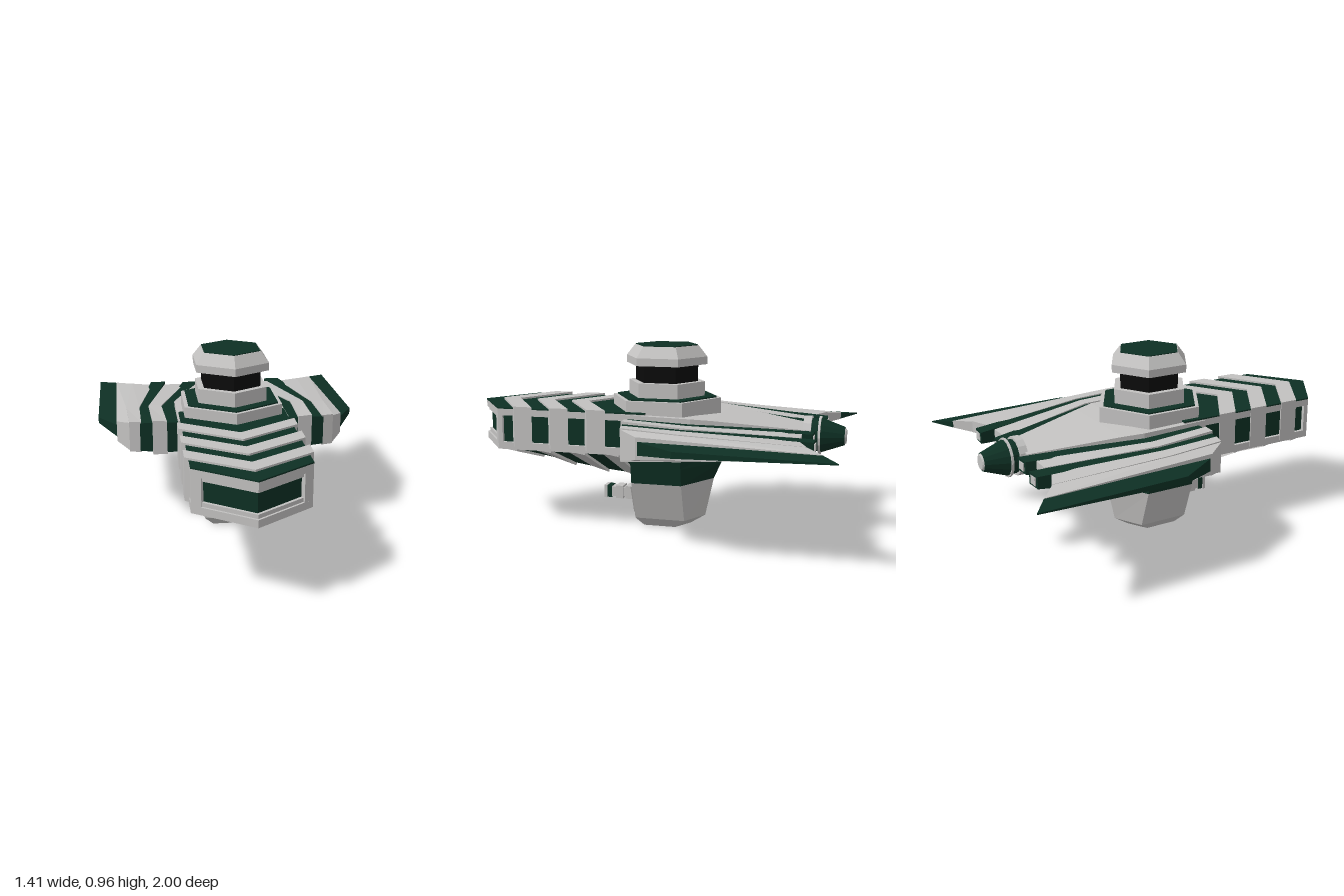
import * as THREE from 'three';

const mat = (name, color) => {
  const m = new THREE.MeshStandardMaterial({ color });
  m.name = name;
  return m;
};

export function createModel() {
  const model = new THREE.Group();
  model.name = 'starship';
  const grey = mat('light grey', 0xc2c1c0);
  const green = mat('dark green', 0x0e3024);
  const black = mat('black', 0x0b0b0b);

  // Adds a faceted mesh
  const add = (name, geo, material, parent = model) => {
    const g = geo.index ? geo.toNonIndexed() : geo;
    g.computeVertexNormals();
    const mesh = new THREE.Mesh(g, material);
    mesh.name = name;
    parent.add(mesh);
    return mesh;
  };

  // Closed solid through equal-sized rings of [x, y, z], oriented outward
  const loft = (rings) => {
    const n = rings[0].length, tris = [];
    for (let r = 0; r + 1 < rings.length; r++) {
      for (let i = 0; i < n; i++) {
        const j = (i + 1) % n;
        const [a, b, c, d] = [rings[r][i], rings[r][j], rings[r + 1][j], rings[r + 1][i]];
        tris.push([a, b, c], [a, c, d]);
      }
    }
    const first = rings[0], last = rings[rings.length - 1];
    for (let i = 1; i + 1 < n; i++) {
      tris.push([first[0], first[i + 1], first[i]], [last[0], last[i], last[i + 1]]);
    }
    const v = (p) => new THREE.Vector3(...p);
    const volume = tris.reduce((s, [a, b, c]) => s + v(a).dot(v(b).cross(v(c))), 0);
    if (volume < 0) tris.forEach((t) => t.reverse());
    const geo = new THREE.BufferGeometry();
    geo.setAttribute('position', new THREE.Float32BufferAttribute(tris.flat(2), 3));
    return geo;
  };

  // Vertical slab from a plan outline of [x, z]
  const slab = (plan, y0, y1) => {
    const shape = new THREE.Shape(plan.map(([x, z]) => new THREE.Vector2(x, -z)));
    const geo = new THREE.ExtrudeGeometry(shape, { depth: y1 - y0, bevelEnabled: false });
    return geo.rotateX(-Math.PI / 2).translate(0, y0, 0);
  };
  const box = (w, h, d, x, y, z) => new THREE.BoxGeometry(w, h, d).translate(x, y, z);

  // Forward arm: recessed green core between grey rails
  const arm = new THREE.Group();
  arm.name = 'forwardArm';
  model.add(arm);
  const nosePlan = (w, edge, tip) => [[-w, 0], [w, 0], [w, edge], [0, tip], [-w, edge]];
  add('armCore', slab(nosePlan(0.262, 0.78, 0.965), 0.43, 0.61), green, arm);
  add('upperRail', slab(nosePlan(0.28, 0.80, 0.995), 0.59, 0.625), grey, arm);
  add('lowerRail', slab(nosePlan(0.28, 0.80, 0.995), 0.41, 0.448), grey, arm);
  add('armDeck', slab(nosePlan(0.28, 0.80, 0.995), 0.625, 0.632), green, arm);
  for (const s of [-1, 1]) {
    add('cornerPost', slab([[s * 0.22, 0.80], [s * 0.235, 0.831], [s * 0.28, 0.80], [s * 0.28, 0.775], [s * 0.25, 0.775]], 0.43, 0.61), grey, arm);
    // Inner frame of the nose window
    for (const [y0, y1] of [[0.448, 0.468], [0.57, 0.59]]) {
      add('windowFrame', slab([[0, 0.96], [0, 0.982], [s * 0.24, 0.815], [s * 0.24, 0.79]], y0, y1), grey, arm);
    }
  }
  for (const z of [0.20, 0.40, 0.60]) {
    add('chevronRib', slab([[-0.3, z], [0, z + 0.19], [0.3, z], [0.3, z + 0.1], [0, z + 0.29], [-0.3, z + 0.1]], 0.427, 0.642), grey, arm);
  }

  // Stepped keel under the arm
  const noseTop = [[-0.27, 0.42, 0.79], [0, 0.42, 0.975], [0.27, 0.42, 0.79]];
  const noseLow = [[-0.27, 0.41, 0.79], [0, 0.362, 0.83], [0.27, 0.41, 0.79]];
  add('keelNose', loft([noseTop, noseLow]), green, arm);
  const keelDepth = (z) => 0.25 + 0.15 * z * z + 0.01 * z;
  const edges = [0.80, 0.70, 0.61, 0.51, 0.42, 0.32, 0.23, 0.14, 0.05];
  for (let i = 0; i + 1 < edges.length; i++) {
    const raised = i % 2 === 0;
    const section = (z, drop) => [[-0.27, 0.415 - drop, z], [-0.27, 0.43, z], [0.27, 0.43, z], [0.27, 0.415 - drop, z], [0, keelDepth(z) - drop, z - 0.04]];
    add(raised ? 'keelStep' : 'keelGap', loft([section(edges[i], 0), section(edges[i + 1], raised ? 0.016 : 0)]), raised ? grey : green, arm);
  }

  // Central hull tapering to the tail
  const hullRing = (z, w, top, side, low) => [[-w, top, z], [w, top, z], [w, side, z], [0, low, z], [-w, side, z]];
  add('hull', loft([
    hullRing(0.12, 0.288, 0.622, 0.41, 0.40),
    hullRing(-0.24, 0.288, 0.615, 0.43, 0.36),
    hullRing(-0.345, 0.255, 0.606, 0.435, 0.345),
    hullRing(-0.79, 0.118, 0.556, 0.465, 0.445),
  ]), grey);

  // Hexagonal tower
  const tower = new THREE.Group();
  tower.name = 'tower';
  model.add(tower);
  const hex = (name, rTop, rLow, y0, y1, m) =>
    add(name, new THREE.CylinderGeometry(rTop, rLow, y1 - y0, 6).translate(0, (y0 + y1) / 2, -0.045), m, tower);
  hex('towerBase', 0.293, 0.293, 0.59, 0.688, grey);
  hex('baseDeck', 0.27, 0.27, 0.688, 0.695, green);
  hex('towerNeck', 0.206, 0.206, 0.69, 0.77, grey);
  hex('towerWindow', 0.17, 0.17, 0.77, 0.86, black);
  hex('capRim', 0.218, 0.218, 0.86, 0.90, grey);
  hex('capSlope', 0.172, 0.218, 0.90, 0.957, grey);
  hex('capRoof', 0.168, 0.168, 0.955, 0.961, green);

  // Wing strips; station: inner x, outer x, inner z, outer z, inner and outer half thickness
  const strips = [
    ['innerStripe', green, [[0.27, 0.355, 0.08, 0.08, 0.082, 0.08], [0.27, 0.365, -0.24, -0.24, 0.07, 0.068], [0.116, 0.2, -0.84, -0.835, 0.032, 0.032]]],
    ['innerRib', grey, [[0.345, 0.42, 0.085, 0.075, 0.09, 0.093], [0.36, 0.43, -0.24, -0.24, 0.075, 0.074], [0.195, 0.315, -0.785, -0.79, 0.034, 0.034]]],
    ['outerStripe', green, [[0.41, 0.485, 0.07, 0.06, 0.08, 0.076], [0.42, 0.487, -0.24, -0.24, 0.067, 0.064], [0.31, 0.395, -0.865, -0.86, 0.03, 0.03]]],
    ['outerRib', grey, [[0.478, 0.54, 0.06, 0.045, 0.083, 0.082], [0.48, 0.55, -0.24, -0.24, 0.07, 0.066], [0.39, 0.51, -0.79, -0.84, 0.033, 0.031]]],
    ['wingShoulder', grey, [[0.54, 0.605, 0.045, -0.05, 0.076, 0.055], [0.55, 0.605, -0.24, -0.28, 0.062, 0.045], [0.51, 0.605, -0.84, -0.92, 0.03, 0.018]]],
    ['wingTip', green, [[0.6, 0.705, -0.05, -0.25, 0.034, 0.016], [0.6, 0.705, -0.5, -0.6, 0.026, 0.01], [0.6, 0.705, -0.92, -1.0, 0.016, 0.003]]],
  ];
  for (const s of [1, -1]) {
    const wing = new THREE.Group();
    wing.name = s > 0 ? 'leftWing' : 'rightWing';
    model.add(wing);
    for (const [name, m, stations] of strips) {
      add(name, loft(stations.map(([xi, xo, zi, zo, hi, ho]) => [
        [s * xi, 0.52 + hi, zi], [s * xo, 0.52 + ho, zo], [s * xo, 0.52 - ho, zo], [s * xi, 0.52 - hi, zi],
      ])), m, wing);
    }
    // Exhaust plates on the stripe ends
    add('exhaustPlate', box(0.05, 0.04, 0.008, s * 0.158, 0.52, -0.838), grey, wing);
    add('exhaustPlate', box(0.05, 0.04, 0.008, s * 0.353, 0.52, -0.863), grey, wing);
  }

  // Tail cone
  const tail = new THREE.Group();
  tail.name = 'tailCone';
  model.add(tail);
  const ring = (name, r0, r1, z0, z1, m) =>
    add(name, new THREE.CylinderGeometry(r0, r1, z0 - z1, 16).rotateX(Math.PI / 2).translate(0, 0.515, (z0 + z1) / 2), m, tail);
  ring('tailCollar', 0.098, 0.098, -0.775, -0.815, grey);
  ring('tailBand', 0.085, 0.085, -0.815, -0.85, green);
  ring('tailRing', 0.098, 0.098, -0.85, -0.862, grey);
  ring('tailNozzle', 0.09, 0.047, -0.862, -0.98, green);
  ring('tailEnd', 0.043, 0.036, -0.98, -0.988, grey);

  // Lower pod, pointed at the back
  const pod = new THREE.Group();
  pod.name = 'lowerPod';
  model.add(pod);
  const podRing = (y, w, zf, zs, za) => [[-w, y, zf], [w, y, zf], [w, y, zs], [0, y, za], [-w, y, zs]];
  const waist = podRing(0.255, 0.225, 0.085, -0.18, -0.305);
  add('podShell', loft([podRing(0, 0.105, 0.05, -0.12, -0.18), podRing(0.05, 0.152, 0.085, -0.18, -0.26), waist]), grey, pod);
  add('podCollar', loft([waist, podRing(0.345, 0.24, 0.085, -0.18, -0.345), podRing(0.42, 0.252, 0.085, -0.18, -0.33)]), green, pod);

  // Pod front window with raised frame
  const trapezoid = (path, wTop, wLow, yTop, yLow) => {
    path.moveTo(-wLow, yLow);
    path.lineTo(wLow, yLow);
    path.lineTo(wTop, yTop);
    path.lineTo(-wTop, yTop);
    path.closePath();
    return path;
  };
  const frame = trapezoid(new THREE.Shape(), 0.205, 0.14, 0.23, 0.078);
  frame.holes.push(trapezoid(new THREE.Path(), 0.188, 0.128, 0.217, 0.09));
  add('podWindowFrame', new THREE.ExtrudeGeometry(frame, { depth: 0.012, bevelEnabled: false }).translate(0, 0, 0.084), grey, pod);
  add('podWindow', new THREE.ShapeGeometry(trapezoid(new THREE.Shape(), 0.19, 0.13, 0.218, 0.088)).translate(0, 0, 0.087), green, pod);

  // Square gun barrel: size, back z, front z
  for (const [size, z0, z1, m] of [
    [0.095, 0.08, 0.11, grey], [0.06, 0.11, 0.14, green], [0.07, 0.14, 0.175, grey], [0.05, 0.175, 0.19, grey],
    [0.07, 0.19, 0.23, grey], [0.055, 0.23, 0.255, grey], [0.064, 0.255, 0.28, green], [0.07, 0.28, 0.296, grey], [0.04, 0.296, 0.301, grey],
  ]) add('gunSegment', box(size, size, z1 - z0, 0, 0.152, (z0 + z1) / 2), m, pod);

  return model;
}
